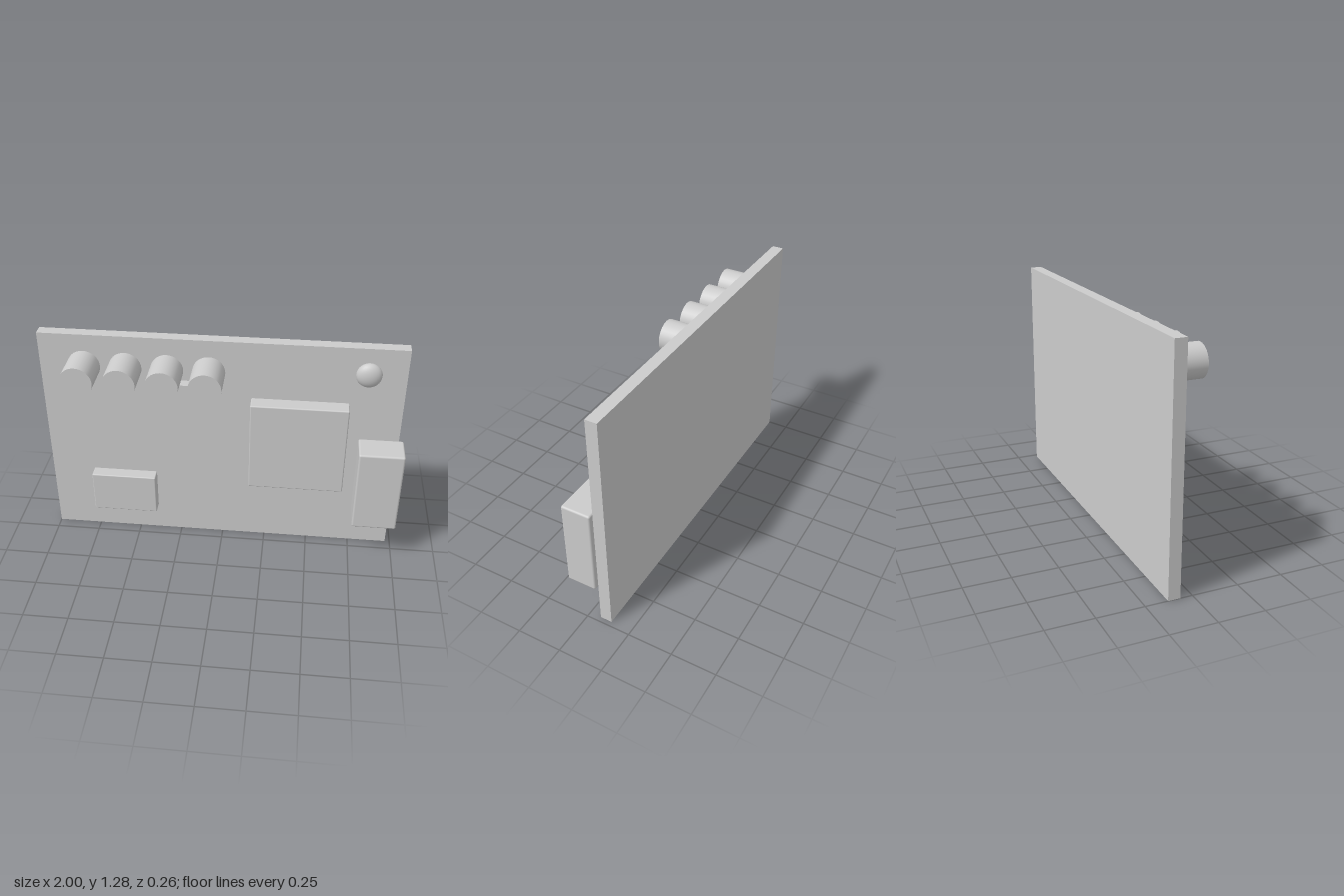
import * as THREE from 'three';
import { RoundedBoxGeometry } from 'three/addons/geometries/RoundedBoxGeometry.js';

export function createModel() {
  const model = new THREE.Group();
  model.name = 'circuitBoard';
  const material = new THREE.MeshStandardMaterial({ color: 0xcccccc });
  const face = -0.065; // front surface of the board

  function add(name, geometry, x, y, z) {
    const mesh = new THREE.Mesh(geometry, material);
    mesh.name = name;
    mesh.position.set(x, y, z);
    model.add(mesh);
    return mesh;
  }

  // Rounded component resting on the board, given by its edges and front z
  function addComponent(name, x0, x1, y0, y1, front, radius) {
    const depth = front - face;
    add(name, new RoundedBoxGeometry(x1 - x0, y1 - y0, depth, 3, radius),
      (x0 + x1) / 2, (y0 + y1) / 2, face + depth / 2);
  }

  // Board
  add('board', new THREE.BoxGeometry(1.973, 1.28, 0.065), -0.0135, 0.64, -0.0975);

  // Chips and the connector overhanging the edge
  addComponent('mainChip', 0.155, 0.685, 0.415, 0.95, 0.026, 0.007);
  addComponent('smallChip', -0.755, -0.385, 0.17, 0.415, 0.01, 0.006);
  addComponent('edgeConnector', 0.752, 1.0, 0.23, 0.725, 0.101, 0.011);
  add('tinyChip', new THREE.BoxGeometry(0.16, 0.123, 0.055), -0.178, 0.972, -0.0375);

  // Row of capacitors
  const canLength = 0.195;
  for (let i = 0; i < 4; i++) {
    const can = add(`capacitor${i + 1}`, new THREE.CylinderGeometry(0.089, 0.089, canLength, 32),
      -0.757 + i * 0.227, 1.095, face + canLength / 2);
    can.rotation.x = Math.PI / 2;
  }

  // Flattened indicator lamp
  const lamp = add('indicatorLamp', new THREE.SphereGeometry(0.069, 24, 16), 0.77, 1.136, -0.046);
  lamp.scale.z = 0.58;

  return model;
}
